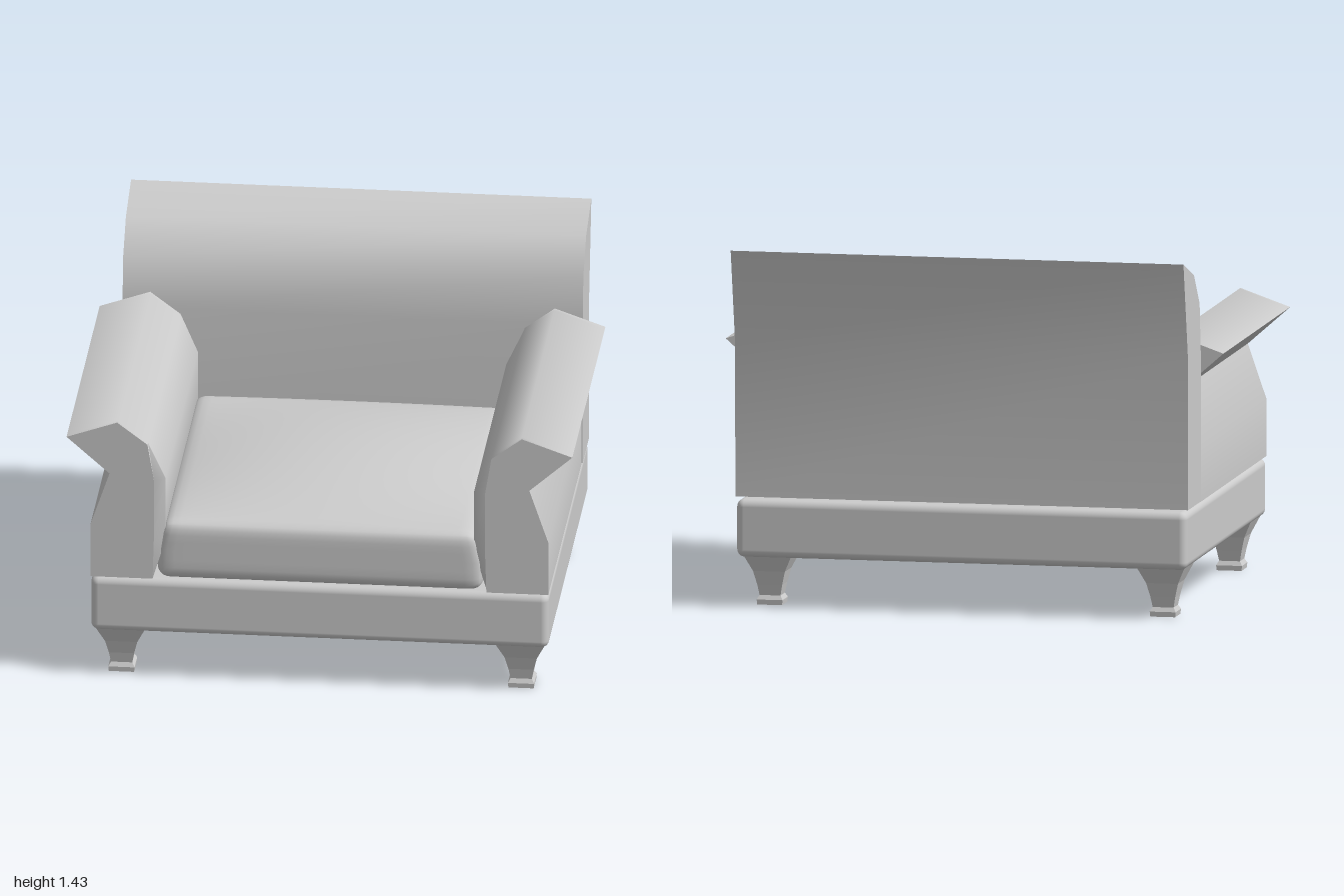
import * as THREE from 'three';
import { RoundedBoxGeometry } from 'three/addons/geometries/RoundedBoxGeometry.js';
import { mergeVertices, toCreasedNormals } from 'three/addons/utils/BufferGeometryUtils.js';

const grey = new THREE.MeshStandardMaterial({ color: 0xcccccc });
const flatGrey = new THREE.MeshStandardMaterial({ color: 0xcccccc, flatShading: true });

function add(parent, name, geometry, material = grey) {
  const mesh = new THREE.Mesh(geometry, material);
  mesh.name = name;
  parent.add(mesh);
  return mesh;
}

// Smooth sides with sharp corners, while the end caps stay flat.
function creaseSides(extruded) {
  const { start, count } = extruded.groups[0];
  const geo = toCreasedNormals(extruded, 1.1);
  const pos = geo.attributes.position, normal = geo.attributes.normal;
  const a = new THREE.Vector3(), b = new THREE.Vector3(), c = new THREE.Vector3();
  for (let i = start; i < start + count; i += 3) {
    a.fromBufferAttribute(pos, i);
    b.fromBufferAttribute(pos, i + 1).sub(a);
    c.fromBufferAttribute(pos, i + 2).sub(a);
    b.cross(c).normalize();
    for (let k = 0; k < 3; k++) normal.setXYZ(i + k, b.x, b.y, b.z);
  }
  return geo;
}

function shapeOf(points) {
  return new THREE.Shape(points.map(([x, y]) => new THREE.Vector2(x, y)));
}

// Scrolled armrest; its inner padding swells just behind each end.
function armGeometry(side) {
  const profile = [[0.66, 0.435], [0.655, 0.6], [0.655, 0.86], [0.68, 1.01], [0.8, 1.1],
    [1, 1.03], [0.83, 0.88], [0.905, 0.66], [0.905, 0.435]];
  const geo = new THREE.ExtrudeGeometry(shapeOf(profile.map(([x, y]) => [side * x, y])),
    { depth: 3, steps: 3, bevelEnabled: false });
  const stations = [-0.475, -0.455, 0.785, 0.805];
  const pos = geo.attributes.position;
  for (let i = 0; i < pos.count; i++) {
    const step = Math.round(pos.getZ(i));
    const padded = (step === 1 || step === 2) && Math.abs(pos.getX(i)) < 0.657;
    if (padded) pos.setX(i, side * 0.61);
    pos.setZ(i, stations[step]);
  }
  return creaseSides(geo);
}

// Backrest profile in (-z, y), extruded across the width.
function backGeometry() {
  const profile = [[0.475, 0.44], [0.72, 0.44], [0.725, 1.05], [0.81, 1.43],
    [0.61, 1.36], [0.5, 1.23], [0.478, 1.03]];
  const geo = new THREE.ExtrudeGeometry(shapeOf(profile), { depth: 1.82, bevelEnabled: false });
  geo.translate(0, 0, -0.91).rotateY(Math.PI / 2);
  return creaseSides(geo);
}

// Rounded cushion with a tapered side and a gently domed top.
function cushionGeometry() {
  const half = new THREE.Vector3(0.645, 0.125, 0.64), r = 0.05;
  const geo = new THREE.BoxGeometry(2, 2, 2, 24, 12, 24);
  geo.deleteAttribute('uv');
  geo.deleteAttribute('normal');
  const merged = mergeVertices(geo, 1e-4);
  const pos = merged.attributes.position;
  const spread = (t) => Math.sign(t) * (1 - (1 - Math.min(1, Math.abs(t))) ** 2);
  const inner = half.clone().subScalar(r);
  const p = new THREE.Vector3(), core = new THREE.Vector3();
  for (let i = 0; i < pos.count; i++) {
    p.fromBufferAttribute(pos, i);
    p.set(spread(p.x), spread(p.y), spread(p.z)).multiply(half);
    core.copy(p).clamp(inner.clone().negate(), inner);
    p.sub(core).setLength(r).add(core);
    const u = Math.min(1, Math.abs(p.x / 0.62)), w = Math.min(1, Math.abs(p.z / 0.62));
    const height = Math.max(0, p.y / half.y);
    p.y += 0.07 * height * (1 - u * u) * (1 - w * w);
    p.x *= 1 - 0.04 * height;
    pos.setXYZ(i, p.x, p.y, p.z);
  }
  merged.computeVertexNormals();
  return merged.translate(0, 0.555, 0.165);
}

// Square tapered leg with a small flared foot.
function legGeometry() {
  const profile = [[0, 0], [0.05, 0], [0.052, 0.02], [0.042, 0.037], [0.05, 0.08],
    [0.064, 0.135], [0.1, 0.21], [0, 0.21]];
  const points = profile.map(([halfWidth, y]) => new THREE.Vector2(halfWidth * Math.SQRT2, y));
  return new THREE.LatheGeometry(points, 4).rotateY(Math.PI / 4);
}

export function createModel() {
  const chair = new THREE.Group();
  chair.name = 'armchair';

  add(chair, 'base', new RoundedBoxGeometry(1.81, 0.23, 1.54, 4, 0.03)).position.set(0, 0.315, 0.035);
  add(chair, 'seatCushion', cushionGeometry());
  add(chair, 'backrest', backGeometry());
  add(chair, 'leftArm', armGeometry(1));
  add(chair, 'rightArm', armGeometry(-1));

  const leg = legGeometry();
  for (const [end, z] of [['front', 0.685], ['back', -0.585]]) {
    for (const [side, x] of [['Left', 0.79], ['Right', -0.79]]) {
      add(chair, `${end}${side}Leg`, leg, flatGrey).position.set(x, 0, z);
    }
  }
  return chair;
}
